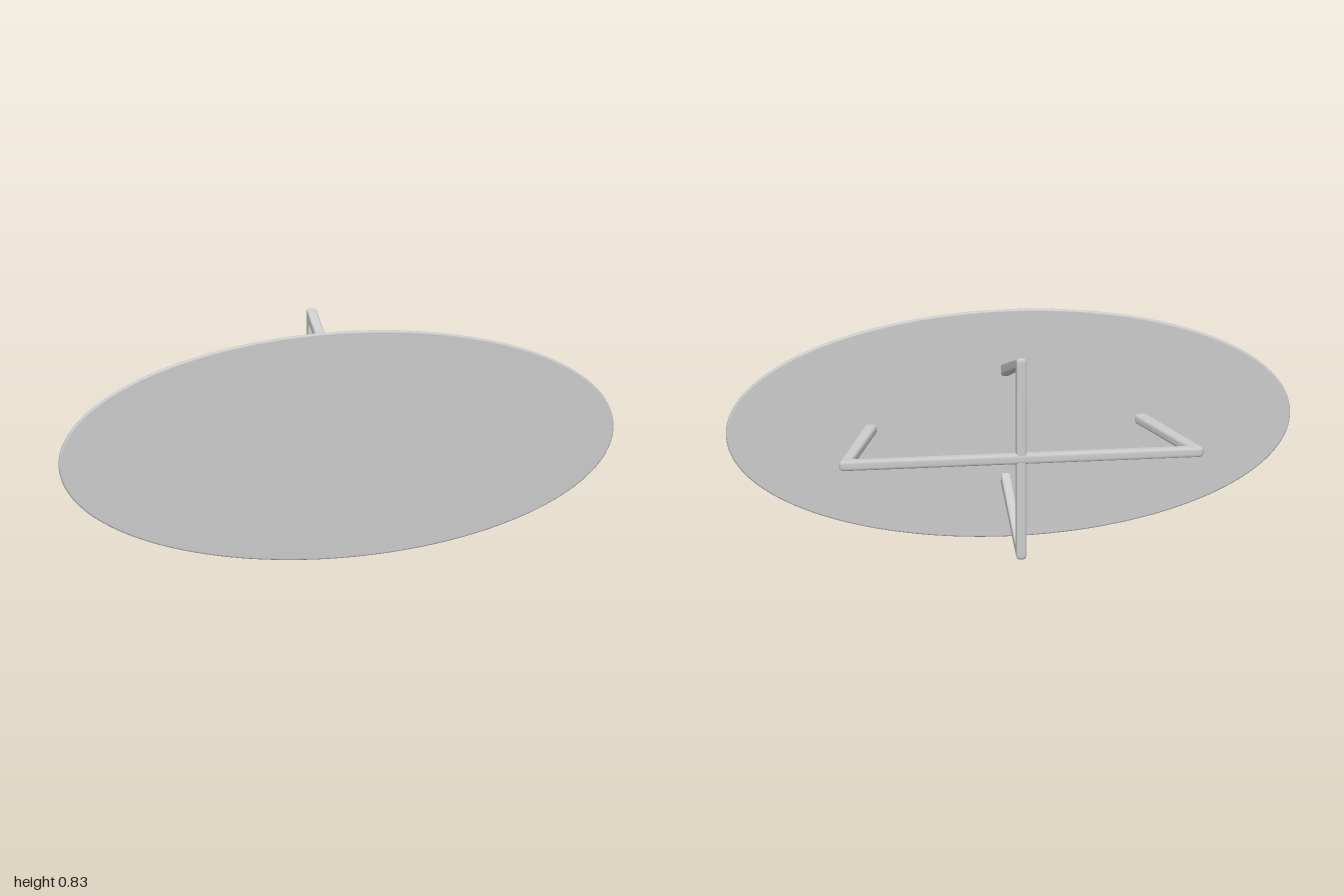
import * as THREE from 'three';
import { toCreasedNormals } from 'three/addons/utils/BufferGeometryUtils.js';

const material = new THREE.MeshStandardMaterial({ color: 0xcccccc });
const CENTRE_Y = 0.417;

// Bend at a corner: a short curve replacing the sharp point
function bend(from, corner, to, radius) {
  const toward = (q) => q.clone().sub(corner).setLength(radius).add(corner);
  return new THREE.QuadraticBezierCurve(toward(from), corner, toward(to)).getPoints(8);
}

// Ring of a rounded rectangle spanning inner to outer, thick along y
function sectionRing(inner, outer, thickness, round) {
  const across = outer.clone().sub(inner);
  const halfW = across.length() / 2;
  const mid = inner.clone().add(outer).multiplyScalar(0.5);
  across.normalize();
  const ring = [];
  for (let corner = 0; corner < 4; corner++) {
    const sx = corner === 0 || corner === 3 ? 1 : -1;
    const sy = corner < 2 ? 1 : -1;
    for (let k = 0; k <= 5; k++) {
      const angle = (corner + k / 5) * Math.PI / 2;
      const a = sx * (halfW - round) + Math.cos(angle) * round;
      const b = sy * (thickness / 2 - round) + Math.sin(angle) * round;
      ring.push([mid.x + across.x * a, b, mid.y + across.y * a]);
    }
  }
  return ring;
}

// Skin over the rings, with flat caps on both ends
function skin(rings) {
  const n = rings[0].length;
  const last = rings.length;
  const positions = [...rings, rings[0], rings[last - 1]].flat(2);
  const index = [];
  for (let i = 0; i < last - 1; i++) {
    for (let j = 0; j < n; j++) {
      const a = i * n + j;
      const b = i * n + (j + 1) % n;
      index.push(a, a + n, b, b, a + n, b + n);
    }
  }
  for (let j = 1; j < n - 1; j++) {
    const start = last * n;
    const end = start + n;
    index.push(start, start + j, start + j + 1, end, end + j + 1, end + j);
  }
  const geometry = new THREE.BufferGeometry();
  geometry.setAttribute('position', new THREE.Float32BufferAttribute(positions, 3));
  geometry.setIndex(index);
  geometry.computeVertexNormals();
  return geometry;
}

// Bent bar: a straight rail with two splayed legs; points are [across, z]
function legFrame(name, { innerFoot, innerCorner, outerFoot, outerCorner }) {
  const edge = (foot, corner, radius) => {
    const f = new THREE.Vector2(...foot);
    const c = new THREE.Vector2(...corner);
    return [f, ...bend(f, c, new THREE.Vector2(0, c.y), radius)];
  };
  const inner = edge(innerFoot, innerCorner, 0.024);
  const outer = edge(outerFoot, outerCorner, 0.018);
  const mirror = (points) => points.map((p) => new THREE.Vector2(-p.x, p.y)).reverse();
  const innerPath = [...inner, ...mirror(inner)];
  const outerPath = [...outer, ...mirror(outer)];
  const rings = innerPath.map((p, i) => sectionRing(p, outerPath[i], 0.035, 0.012));

  const mesh = new THREE.Mesh(skin(rings), material);
  mesh.name = name;
  mesh.position.set(0.01, CENTRE_Y, 0);
  return mesh;
}

export function createModel() {
  const group = new THREE.Group();
  group.name = 'ovalTable';

  // Oval top, standing on its edge
  const oval = new THREE.Shape().absellipse(0, 0, 1, 0.417, 0, Math.PI * 2);
  const slab = new THREE.ExtrudeGeometry(oval, {
    depth: 0.005,
    bevelThickness: 0.006,
    bevelSize: 0.006,
    bevelOffset: -0.006,
    bevelSegments: 4,
    curveSegments: 96,
  });
  const top = new THREE.Mesh(toCreasedNormals(slab, 0.15), material);
  top.name = 'tableTop';
  top.position.set(0, CENTRE_Y, 0.213);
  group.add(top);

  // Two crossed leg frames behind the top
  const longFrame = legFrame('longLegFrame', {
    innerFoot: [0.457, 0.196],
    innerCorner: [0.595, -0.188],
    outerFoot: [0.502, 0.207],
    outerCorner: [0.649, -0.224],
  });
  const shortFrame = legFrame('shortLegFrame', {
    innerFoot: [0.178, 0.195],
    innerCorner: [0.325, -0.185],
    outerFoot: [0.224, 0.206],
    outerCorner: [0.374, -0.223],
  });
  shortFrame.rotation.z = Math.PI / 2;

  group.add(longFrame, shortFrame);
  return group;
}
